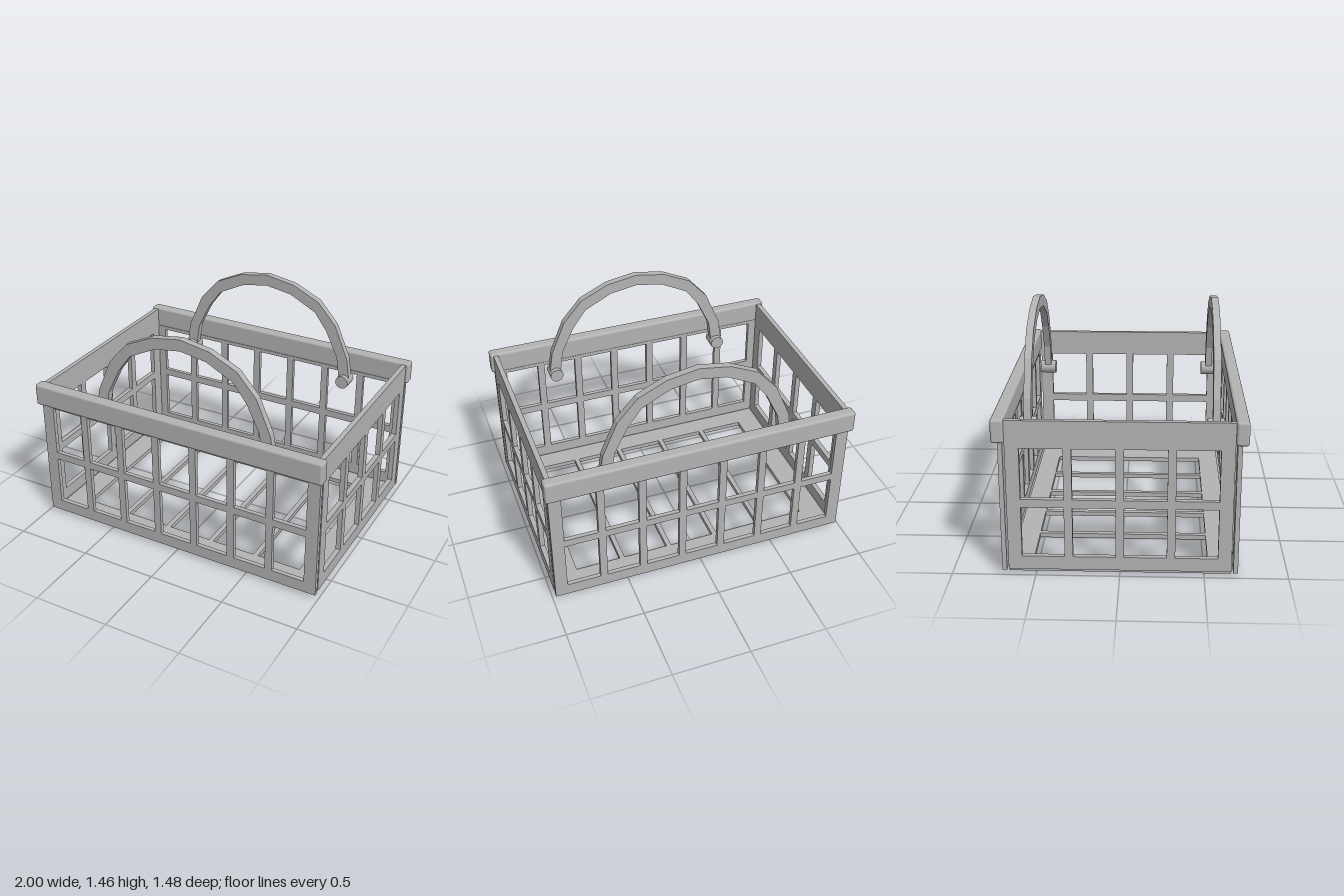
import * as THREE from 'three';
import { RoundedBoxGeometry } from 'three/addons/geometries/RoundedBoxGeometry.js';

const plastic = new THREE.MeshStandardMaterial({ color: 0xb3b3b3 });
plastic.name = 'grey plastic';

// Evenly spaced [from, to] spans separated by bars
function spans(from, to, count, bar) {
  const size = (to - from - bar * (count - 1)) / count;
  return Array.from({ length: count }, (_, i) => {
    const a = from + i * (size + bar);
    return [a, a + size];
  });
}

// Flat lattice in XY, centred in z
function lattice(w, y0, y1, columns, rows, depth) {
  const shape = new THREE.Shape([[-w, y0], [w, y0], [w, y1], [-w, y1]].map(p => new THREE.Vector2(...p)));
  for (const [a, b] of columns) {
    for (const [c, d] of rows) {
      shape.holes.push(new THREE.Path([[a, c], [a, d], [b, d], [b, c]].map(p => new THREE.Vector2(...p))));
    }
  }
  return new THREE.ExtrudeGeometry(shape, { depth, bevelEnabled: false }).translate(0, 0, -depth / 2);
}

export function createModel() {
  const model = new THREE.Group();
  model.name = 'basket';
  const add = (name, geometry, x = 0, y = 0, z = 0) => {
    const mesh = new THREE.Mesh(geometry, plastic);
    mesh.name = name;
    mesh.position.set(x, y, z);
    model.add(mesh);
    return mesh;
  };

  // Floor frame with cross bars
  const floor = lattice(0.945, -0.662, 0.662, spans(-0.795, 0.795, 5, 0.032), [[-0.527, 0.527]], 0.03);
  add('floor', floor.rotateX(-Math.PI / 2), 0, 0.015, 0);

  const longWall = lattice(0.98, 0.022, 0.965, spans(-0.9, 0.9, 7, 0.047), [[0.1, 0.43], [0.48, 0.81]], 0.028);
  const endWall = lattice(0.662, 0.03, 0.97, spans(-0.58, 0.58, 4, 0.05), [[0.115, 0.43], [0.482, 0.8]], 0.032);
  endWall.rotateY(Math.PI / 2);
  const rim = new RoundedBoxGeometry(2, 0.145, 0.076, 3, 0.016);

  // Faceted arch: outer edge then inner edge, right half, mirrored
  const outer = [[0.63, 0.81], [0.604, 0.975], [0.508, 1.198], [0.38, 1.342], [0.198, 1.427], [0, 1.46]];
  const inner = [[0, 1.385], [0.176, 1.357], [0.358, 1.265], [0.446, 1.146], [0.53, 0.975], [0.555, 0.81]];
  const mirror = pts => pts.map(([x, y]) => [-x, y]).reverse();
  const outline = [...outer, ...mirror(outer).slice(1), ...mirror(inner).slice(0, -1), ...inner];
  const arch = new THREE.ExtrudeGeometry(
    new THREE.Shape(outline.map(p => new THREE.Vector2(...p))), { depth: 0.045, bevelEnabled: false });
  arch.translate(0, 0, -0.0225);
  const knob = new THREE.CylinderGeometry(0.045, 0.045, 0.104, 12).rotateX(Math.PI / 2);

  for (const [s, end, side] of [[1, 'front', 'left'], [-1, 'back', 'right']]) {
    add(end + 'Wall', longWall, 0, 0, s * 0.687);
    add(end + 'Rim', rim, 0, 0.907, s * 0.7);
    add(side + 'Wall', endWall, s * 0.964, 0, 0);
    // Carry handle on two pivots
    add(end + 'Handle', arch, 0, 0, s * 0.57);
    for (const x of [-0.588, 0.588]) add(end + 'HandlePivot', knob, x, 0.811, s * 0.568);
  }
  return model;
}
